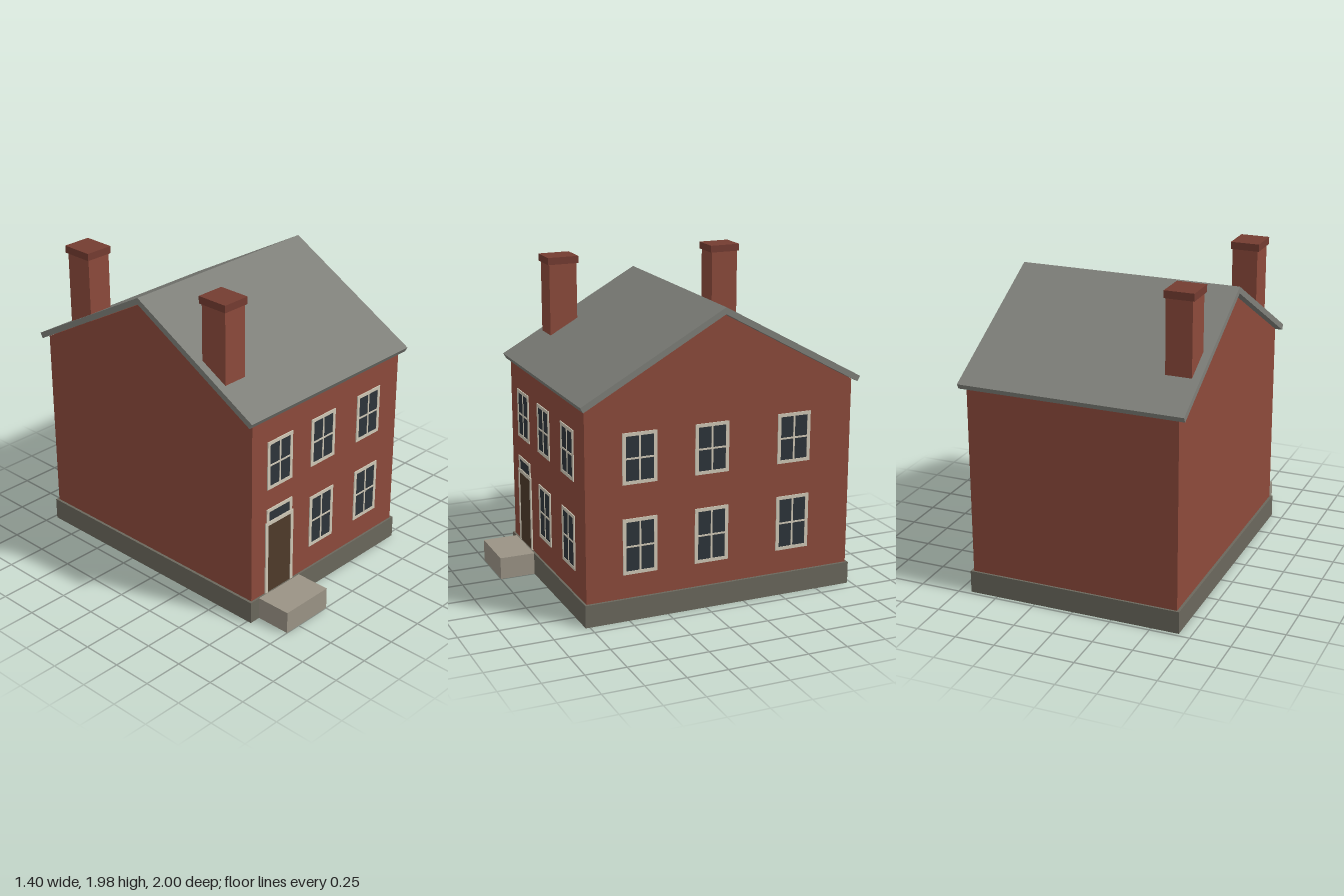
import * as THREE from 'three';

const mat = (color, side = THREE.FrontSide) => new THREE.MeshStandardMaterial({ color, side });
const BRICK = mat(0x8c4a3b), CAP = mat(0x743c31), ROOF = mat(0x7e7f79);
const PLINTH = mat(0x6a675c, THREE.DoubleSide), STONE = mat(0x9a9385, THREE.DoubleSide);
const TRIM = mat(0xcfc8b6), GLASS = mat(0x2d343a), DOOR = mat(0x4e3a2a);

const MID_Z = -0.1, FRONT_Z = 0.764, SIDE_X = 0.658;

function add(parent, name, geometry, material, x = 0, y = 0, z = 0) {
  const mesh = new THREE.Mesh(geometry, material);
  mesh.name = name;
  mesh.position.set(x, y, z);
  parent.add(mesh);
  return mesh;
}

// Box given by its limits; openBottom drops the underside
function block(parent, name, material, [x0, x1], [y0, y1], [z0, z1], openBottom = false) {
  const g = new THREE.BoxGeometry(x1 - x0, y1 - y0, z1 - z0);
  if (openBottom) {
    const index = Array.from(g.index.array);
    index.splice(18, 6);
    g.setIndex(index);
  }
  return add(parent, name, g, material, (x0 + x1) / 2, (y0 + y1) / 2, (z0 + z1) / 2);
}

// Profile of (depth, height) points swept across the width of the house
function sweepAcross(points, halfWidth) {
  const shape = new THREE.Shape(points.map(([u, y]) => new THREE.Vector2(u, y)));
  const g = new THREE.ExtrudeGeometry(shape, { depth: 2 * halfWidth, bevelEnabled: false });
  return g.translate(0, 0, -halfWidth).rotateY(Math.PI / 2);
}

function rect(path, x0, y0, x1, y1) {
  path.moveTo(x0, y0).lineTo(x1, y0).lineTo(x1, y1).lineTo(x0, y1).closePath();
  return path;
}

// Framed glazing facing +z, split into cols x rows panes
function makeWindow(name, w, h, cols = 2, rows = 2) {
  const group = new THREE.Group();
  group.name = name;
  const border = 0.021, bar = 0.011;
  const paneW = (w - 2 * border - (cols - 1) * bar) / cols;
  const paneH = (h - 2 * border - (rows - 1) * bar) / rows;
  const frame = rect(new THREE.Shape(), -w / 2, -h / 2, w / 2, h / 2);
  for (let i = 0; i < cols; i++) {
    for (let j = 0; j < rows; j++) {
      const x = -w / 2 + border + i * (paneW + bar);
      const y = -h / 2 + border + j * (paneH + bar);
      frame.holes.push(rect(new THREE.Path(), x, y, x + paneW, y + paneH));
    }
  }
  add(group, 'windowFrame', new THREE.ExtrudeGeometry(frame, { depth: 0.006, bevelEnabled: false }), TRIM);
  add(group, 'windowGlass', new THREE.BoxGeometry(w - border, h - border, 0.006), GLASS);
  return group;
}

export function createModel() {
  const house = new THREE.Group();
  house.name = 'house';

  // Gabled brick body
  add(house, 'walls', sweepAcross(
    [[-0.864, 0], [0.864, 0], [0.864, 1.322], [0, 1.8], [-0.864, 1.322]], SIDE_X), BRICK, 0, 0, MID_Z);

  // Roof of two slopes with square-cut eaves
  add(house, 'roof', sweepAcross(
    [[0.9, 1.347], [0, 1.845], [-0.9, 1.347], [-0.882, 1.315], [0, 1.804], [0.882, 1.315]], 0.7),
  ROOF, 0, 0, MID_Z);

  // Stone plinth and doorstep
  block(house, 'plinth', PLINTH, [-0.675, 0.675], [0, 0.14], [-0.977, 0.777], true);
  block(house, 'doorstep', STONE, [-0.602, -0.247], [0, 0.14], [0.775, 1], true);

  // Chimneys along the right gable
  for (const z of [0.46, -0.66]) {
    block(house, 'chimney', BRICK, [-0.65, -0.49], [1.38, 1.94], [z - 0.09, z + 0.09]);
    block(house, 'chimneyCap', CAP, [-0.662, -0.482], [1.935, 1.98], [z - 0.101, z + 0.101]);
  }

  // Windows on the front and the left gable, in two storeys
  const storeys = [{ y: 1.0, h: 0.312 }, { y: 0.461, h: 0.346 }];
  storeys.forEach(({ y, h }, storey) => {
    [-0.423, -0.042, 0.378].forEach((x, i) => {
      if (storey === 1 && i === 0) return; // the door stands here
      const win = makeWindow('frontWindow', 0.214, h);
      win.position.set(x, y, FRONT_Z);
      house.add(win);
    });
    for (const z of [0.424, -0.037, -0.579]) {
      const win = makeWindow('sideWindow', 0.218, h);
      win.position.set(SIDE_X, y, z);
      win.rotation.y = Math.PI / 2;
      house.add(win);
    }
  });

  // Front door with its surround and the light above
  const surround = new THREE.Shape([
    [-0.542, 0.14], [-0.521, 0.14], [-0.521, 0.603], [-0.322, 0.603], [-0.322, 0.14],
    [-0.301, 0.14], [-0.301, 0.624], [-0.542, 0.624],
  ].map(([x, y]) => new THREE.Vector2(x, y)));
  add(house, 'doorFrame', new THREE.ExtrudeGeometry(surround, { depth: 0.008, bevelEnabled: false }),
    TRIM, 0, 0, FRONT_Z);
  block(house, 'door', DOOR, [-0.525, -0.318], [0.14, 0.607], [FRONT_Z - 0.01, FRONT_Z + 0.004]);
  const transom = makeWindow('transomWindow', 0.22, 0.105, 1, 1);
  transom.position.set(-0.422, 0.66, FRONT_Z);
  house.add(transom);

  return house;
}
